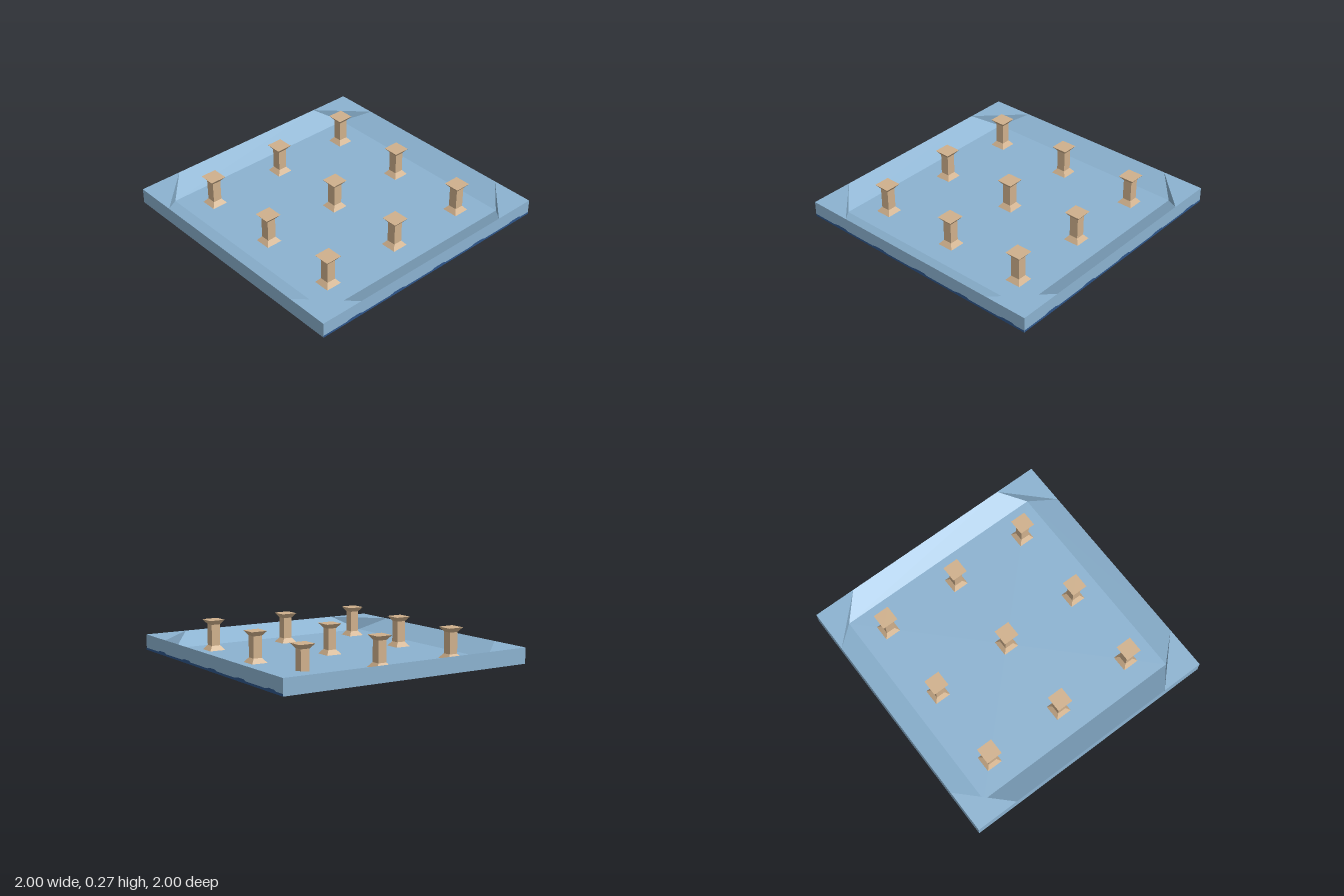
import * as THREE from 'three';

const RIM = 0.1375, EDGE = 0.02, FLOOR = 0.04;
const CUT = 0.67, INNER = 0.835;

// Flat-shaded geometry from a list of convex polygons
function fromPolygons(polygons) {
  const pos = [];
  for (const p of polygons)
    for (let i = 1; i < p.length - 1; i++) pos.push(...p[0], ...p[i], ...p[i + 1]);
  const g = new THREE.BufferGeometry();
  g.setAttribute('position', new THREE.Float32BufferAttribute(pos, 3));
  g.computeVertexNormals();
  return g;
}

// Quarter turns about y
function turn([x, y, z], k) {
  for (let i = 0; i < k; i++) [x, z] = [z, -x];
  return [x, y, z];
}

// Sunken skin: flat centre, sloped sides and level corner triangles
function skin(high, low, flip) {
  const polys = [];
  for (let k = 0; k < 4; k++) {
    polys.push(
      [[-CUT, high, 1], [CUT, high, 1], [INNER, low, INNER], [-INNER, low, INNER]],
      [[CUT, high, 1], [1, high, 1], [1, high, CUT]],
      [[CUT, high, 1], [1, high, CUT], [INNER, low, INNER]],
      [[-INNER, low, INNER], [INNER, low, INNER], [0, low, 0]],
    );
    polys.push(...polys.splice(-4).map((p) => p.map((v) => turn(v, k))));
  }
  if (flip) polys.forEach((p) => p.reverse());
  return fromPolygons(polys);
}

// Square pillar with flared base and flared cap, y from the basin floor up
function pillarGeometry() {
  const rings = [[0.0615, FLOOR], [0.034, 0.075], [0.034, 0.233], [0.0615, 0.2675]];
  const polys = [];
  for (let k = 0; k < 4; k++) {
    for (let i = 0; i < rings.length - 1; i++) {
      const [a, y0] = rings[i], [b, y1] = rings[i + 1];
      polys.push([[-a, y0, a], [a, y0, a], [b, y1, b], [-b, y1, b]].map((v) => turn(v, k)));
    }
  }
  const [c, top] = rings[3];
  polys.push([[-c, top, c], [c, top, c], [c, top, -c], [-c, top, -c]]);
  return fromPolygons(polys);
}

// Thin uneven waterline band, drawn facing +z
function waterlineGeometry() {
  const s = new THREE.Shape();
  s.moveTo(-1, EDGE);
  s.lineTo(1, EDGE);
  s.lineTo(1, 0.036);
  for (let i = 0; i < 5; i++) {
    const x = 0.85 - i * 0.395;
    s.lineTo(x + 0.07, 0.036);
    s.lineTo(x + 0.045, 0.045);
    s.lineTo(x - 0.03, 0.045);
    s.lineTo(x - 0.07, 0.036);
  }
  s.lineTo(-1, 0.036);
  return new THREE.ShapeGeometry(s);
}

export function createModel() {
  const model = new THREE.Group();
  const material = (name, color) => {
    const m = new THREE.MeshStandardMaterial({ color });
    m.name = name;
    return m;
  };
  const blue = material('pale blue', 0x8bb2d0);
  const navy = material('deep blue', 0x2d5488);
  const tan = material('sandstone', 0xcfb08c);

  const add = (name, geometry, mat) => {
    const mesh = new THREE.Mesh(geometry, mat);
    mesh.name = name;
    model.add(mesh);
    return mesh;
  };

  // Basin shell
  add('basin', skin(RIM, FLOOR, false), blue);
  add('underside', skin(EDGE, 0, true), blue);
  const wall = [[-1, EDGE, 1], [1, EDGE, 1], [1, RIM, 1], [-1, RIM, 1]];
  add('outerWalls', fromPolygons([0, 1, 2, 3].map((k) => wall.map((v) => turn(v, k)))), blue);

  // Waterline on the left and back walls
  const band = waterlineGeometry();
  for (const [name, angle] of [['leftWaterline', Math.PI / 2], ['backWaterline', Math.PI]]) {
    const mesh = add(name, band, navy);
    mesh.rotation.y = angle;
    mesh.position.set(Math.sin(angle), 0, Math.cos(angle)).multiplyScalar(1.001);
  }

  // Three by three grid of pillars
  const pillar = pillarGeometry();
  for (const x of [-0.625, 0, 0.625])
    for (const z of [-0.625, 0, 0.625]) add('pillar', pillar, tan).position.set(x, 0, z);

  return model;
}
